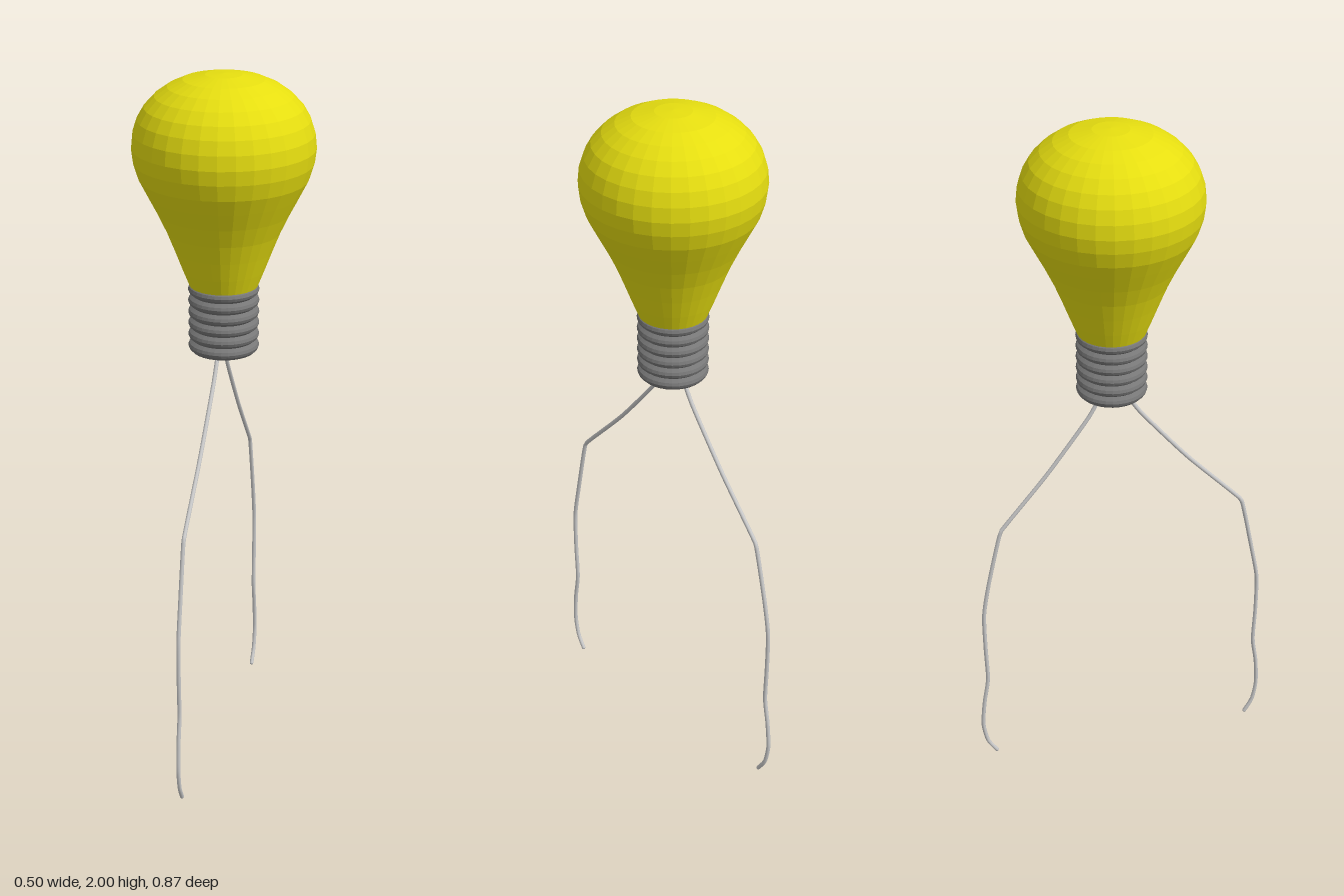
import * as THREE from 'three';

const AXIS_Z = -0.025; // the bulb sits slightly behind the wire centre
const SIDES = 32;

const material = (color, flatShading = false) =>
  new THREE.MeshStandardMaterial({ color, flatShading, side: THREE.DoubleSide });

function lathe(name, points, mat) {
  const profile = points.map(([r, y]) => new THREE.Vector2(r, y));
  const mesh = new THREE.Mesh(new THREE.LatheGeometry(profile, SIDES), mat);
  mesh.name = name;
  mesh.position.z = AXIS_Z;
  return mesh;
}

// Thin bent wire through [z, y] points, with rounded ends
function wire(name, points, mat) {
  const group = new THREE.Group();
  group.name = name;
  const path = points.map(([z, y]) => new THREE.Vector3(-0.007, y, z));
  const curve = new THREE.CatmullRomCurve3(path, false, 'catmullrom', 0.35);
  group.add(new THREE.Mesh(new THREE.TubeGeometry(curve, 80, 0.006, 8), mat));
  for (const end of [path[0], path[path.length - 1]]) {
    const cap = new THREE.Mesh(new THREE.SphereGeometry(0.006, 8, 6), mat);
    cap.position.copy(end);
    group.add(cap);
  }
  return group;
}

export function createModel() {
  const model = new THREE.Group();
  const steel = material(0xcccccc);

  // Glass: narrow neck flaring into a rounded crown
  model.add(lathe('glassBulb', [
    [0.095, 1.41], [0.113, 1.455], [0.134, 1.51], [0.156, 1.565], [0.182, 1.62],
    [0.208, 1.67], [0.231, 1.715], [0.245, 1.76], [0.25, 1.80], [0.246, 1.84],
    [0.234, 1.877], [0.215, 1.91], [0.187, 1.94], [0.152, 1.965], [0.11, 1.984],
    [0.05, 1.997], [0, 2.0],
  ], material(0xe6de10, true)));

  // Screw base: pointed contact below a stack of thread ridges
  const base = [[0, 1.187], [0.05, 1.203], [0.088, 1.218]];
  const ridges = 6, bottom = 1.218, pitch = 0.0328;
  for (let i = 0; i < ridges; i++) {
    const y = bottom + i * pitch;
    base.push([0.096, y + pitch * 0.25], [0.099, y + pitch * 0.5],
      [0.096, y + pitch * 0.75], [0.086, y + pitch]);
  }
  base.push([0, bottom + ridges * pitch]);
  model.add(lathe('screwBase', base, material(0x777777, true)));

  // Two lead wires splaying to front and back
  model.add(wire('frontWire', [
    [0.018, 1.205], [0.06, 1.14], [0.196, 0.977], [0.345, 0.822], [0.365, 0.79],
    [0.398, 0.63], [0.418, 0.52], [0.419, 0.40], [0.415, 0.285], [0.427, 0.20],
    [0.431, 0.115], [0.42, 0.05], [0.397, 0.008],
  ], steel));
  model.add(wire('backWire', [
    [-0.062, 1.205], [-0.098, 1.14], [-0.215, 0.977], [-0.34, 0.822], [-0.357, 0.79],
    [-0.393, 0.63], [-0.411, 0.52], [-0.411, 0.40], [-0.408, 0.285], [-0.421, 0.20],
    [-0.428, 0.115], [-0.416, 0.05], [-0.39, 0.008],
  ], steel));

  return model;
}
